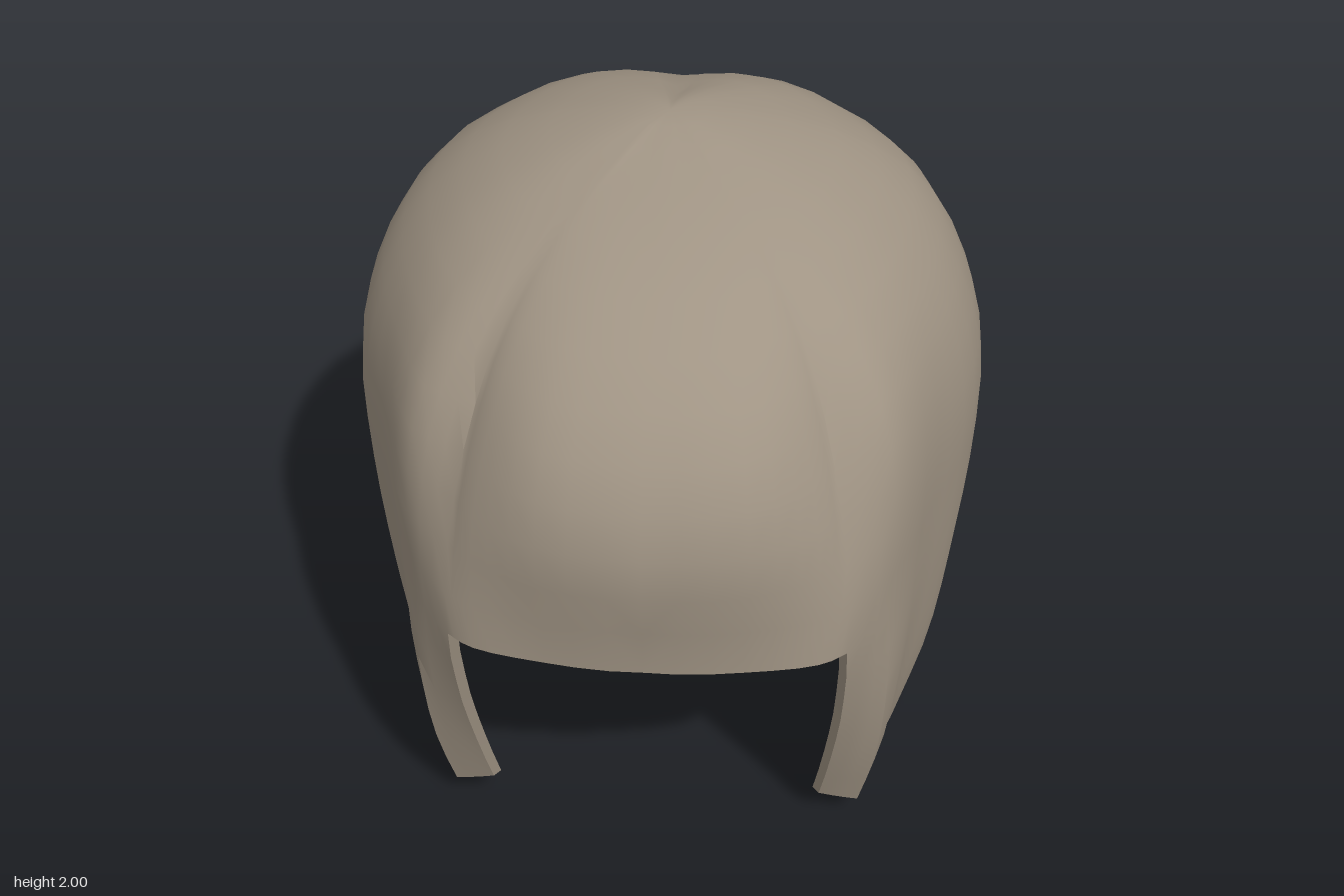
import * as THREE from 'three';
import { toCreasedNormals } from 'three/addons/utils/BufferGeometryUtils.js';

// Half-shell columns, front to back: angle from +z, lower rim height, twist of the
// angle at the foot, and radii at the heights 2*sin(0, 10, 20 ... 80 degrees)
const COLUMNS = [
  { angle: 0, rim: 0.94, twist: 0, r: [0.97, 0.97, 0.97, 0.95, 1.0, 0.94, 0.775, 0.5, 0.17] },
  { angle: 15, rim: 0.94, twist: 0, r: [0.98, 0.98, 0.98, 0.965, 1.0, 0.94, 0.77, 0.5, 0.17] },
  { angle: 26, rim: 0.94, twist: 0, r: [1.0, 1.0, 1.0, 0.99, 0.97, 0.88, 0.73, 0.49, 0.18] },
  { angle: 31, rim: 0.13, twist: 9, r: [0.7, 0.82, 0.925, 0.99, 0.94, 0.84, 0.7, 0.48, 0.19] },
  { angle: 41, rim: 0.1, twist: 5, r: [0.78, 0.88, 0.93, 0.935, 0.93, 0.87, 0.71, 0.47, 0.19] },
  { angle: 60, rim: 0.08, twist: 2, r: [0.7, 0.77, 0.81, 0.83, 0.835, 0.79, 0.67, 0.46, 0.2] },
  { angle: 80, rim: 0.05, twist: 0, r: [0.7, 0.78, 0.82, 0.84, 0.84, 0.78, 0.65, 0.45, 0.2] },
  { angle: 105, rim: 0.0, twist: 0, r: [0.74, 0.81, 0.85, 0.88, 0.87, 0.8, 0.67, 0.46, 0.2] },
  { angle: 112, rim: 0.1, twist: 0, r: [0.77, 0.87, 0.88, 0.895, 0.875, 0.8, 0.675, 0.46, 0.2] },
  { angle: 118, rim: 0.25, twist: 0, r: [0.95, 0.96, 0.93, 0.91, 0.885, 0.81, 0.68, 0.46, 0.2] },
  { angle: 150, rim: 0.235, twist: 0, r: [0.95, 0.97, 0.96, 0.93, 0.89, 0.8, 0.67, 0.47, 0.2] },
  { angle: 180, rim: 0.22, twist: 0, r: [0.94, 0.975, 0.955, 0.925, 0.88, 0.785, 0.63, 0.4, 0.13] },
];
// Spans of columns that are smooth inside and may crease where they meet
const SPANS = [[0, 3], [3, 4], [4, 7], [7, 8], [8, 9], [9, 11]];
const BROW = 0.94, LOWER = 7, UPPER = 13, STEPS = 3, INNER = 0.962;

// Catmull-Rom through get(first..last), with straight continuation at the ends
function spline(get, first, last, t) {
  const i = Math.min(Math.floor(t), last - 1), f = t - i;
  const b = get(i), c = get(i + 1);
  const a = i > first ? get(i - 1) : 2 * b - c;
  const d = i + 2 <= last ? get(i + 2) : 2 * c - b;
  return b + 0.5 * f * (c - a + f * (2 * a - 5 * b + 4 * c - d + f * (3 * (b - c) + d - a)));
}

// Radius of one column at level k; it mirrors across the crown to stay round there
function columnRadius(i, k) {
  const r = COLUMNS[i].r;
  return spline((n) => (n < 9 ? r[n] : n === 9 ? 0 : -r[8]), 0, 10, k);
}

// Point on the shell: u = column, row = 0 at the rim, LOWER at brow height, then the crown
function shellPoint(u, [first, last], row, side, inner) {
  const i = Math.min(Math.floor(u), last - 1);
  const rim = THREE.MathUtils.lerp(COLUMNS[i].rim, COLUMNS[i + 1].rim, u - i);
  const browV = Math.asin(BROW / 2);
  const v = row <= LOWER
    ? Math.asin((rim + (BROW - rim) * row / LOWER) / 2)
    : browV + (Math.PI / 2 - browV) * (row - LOWER) / UPPER;
  const y = 2 * Math.sin(v), k = Math.min(9, v / (Math.PI / 18));
  const radius = spline((n) => columnRadius(n, k), first, last, u) * (inner ? INNER : 1);
  const twist = THREE.MathUtils.lerp(COLUMNS[i].twist, COLUMNS[i + 1].twist, u - i);
  const foot = first >= 3 ? Math.max(0, 1 - y / BROW) : 0;
  const a = THREE.MathUtils.degToRad(spline((n) => COLUMNS[n].angle, first, last, u) + twist * foot);
  const drop = inner ? 0.035 * (y / 2) ** 4 : 0;
  return [side * radius * Math.sin(a), y - drop, radius * Math.cos(a)];
}

// Adds a quad, flipped on the mirrored side; empty triangles are left out
function addQuad(list, side, a, b, c, d) {
  const gap = (p, q) => Math.hypot(p[0] - q[0], p[1] - q[1], p[2] - q[2]) > 1e-5;
  for (const [p, q, s] of [[a, b, c], [a, c, d]]) {
    if (gap(p, q) && gap(q, s) && gap(s, p)) {
      list.push(...p, ...(side > 0 ? q : s), ...(side > 0 ? s : q));
    }
  }
}

function toMesh(name, list, material, crease) {
  const geometry = new THREE.BufferGeometry();
  geometry.setAttribute('position', new THREE.Float32BufferAttribute(list, 3));
  const mesh = new THREE.Mesh(toCreasedNormals(geometry, crease), material);
  mesh.name = name;
  return mesh;
}

export function createModel() {
  const material = new THREE.MeshStandardMaterial({ color: 0xa09484 });
  material.name = 'warm grey';
  const outer = [], lining = [], rim = [];

  for (const side of [1, -1]) {
    for (const span of SPANS) {
      const start = span[0] === 0 ? LOWER : 0;
      const point = (u, row, inner) => shellPoint(u, span, row, side, inner);
      const count = (span[1] - span[0]) * STEPS;
      for (let n = 0; n < count; n++) {
        const u0 = span[0] + n / STEPS, u1 = span[0] + (n + 1) / STEPS;
        // Outer skin and lining
        for (let j = start; j < LOWER + UPPER; j++) {
          addQuad(outer, side, point(u0, j, false), point(u1, j, false),
            point(u1, j + 1, false), point(u0, j + 1, false));
          addQuad(lining, side, point(u1, j, true), point(u0, j, true),
            point(u0, j + 1, true), point(u1, j + 1, true));
        }
        // Lower rim
        addQuad(rim, side, point(u0, start, true), point(u1, start, true),
          point(u1, start, false), point(u0, start, false));
      }
    }
    // Upright edge of the face opening
    for (let j = 0; j < LOWER; j++) {
      const edge = (row, inner) => shellPoint(3, SPANS[1], row, side, inner);
      addQuad(rim, side, edge(j, true), edge(j, false), edge(j + 1, false), edge(j + 1, true));
    }
  }

  const group = new THREE.Group();
  group.name = 'hood';
  group.add(
    toMesh('outerShell', outer, material, 0.6),
    toMesh('lining', lining, material, 0.6),
    toMesh('rimEdge', rim, material, 0.5),
  );
  // Stand on the ground, centred front to back
  const box = new THREE.Box3().setFromObject(group);
  group.children.forEach((mesh) => {
    mesh.geometry.translate(0, -box.min.y, -(box.min.z + box.max.z) / 2);
  });
  return group;
}
